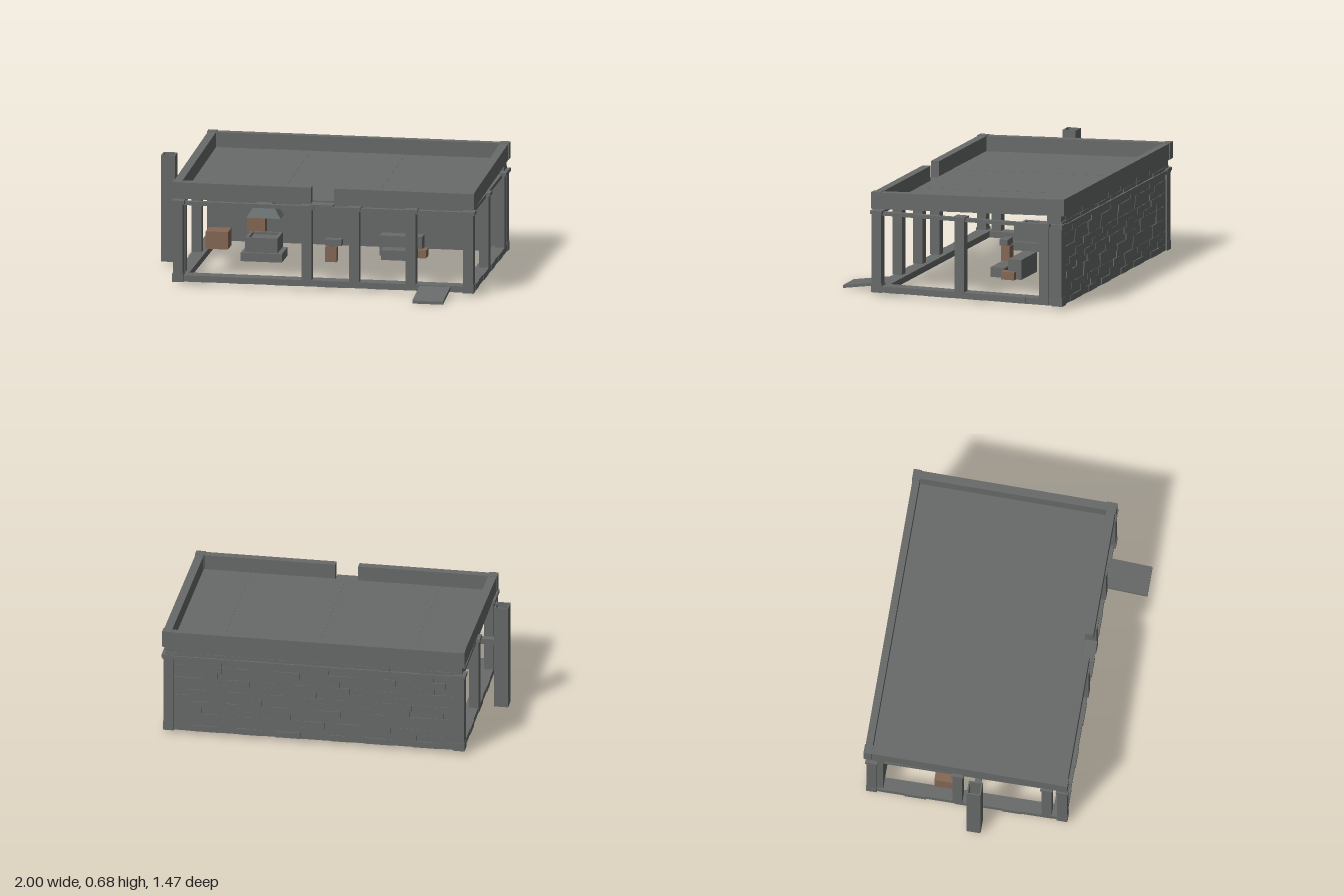
import * as THREE from 'three';

export function createModel() {
  const model = new THREE.Group();
  model.name = 'smithy';
  const mat = (name, color) => {
    const m = new THREE.MeshStandardMaterial({ color });
    m.name = name;
    return m;
  };
  const stone = mat('stone grey', 0x686b6a);
  const iron = mat('iron grey', 0x6b7172);
  iron.side = THREE.DoubleSide;
  const wood = mat('wood brown', 0x866856);

  const add = (name, geo, material, parent = model) => {
    const mesh = new THREE.Mesh(geo, material);
    mesh.name = name;
    parent.add(mesh);
    return mesh;
  };
  // Box given by its limits on each axis
  const boxGeo = (x0, x1, y0, y1, z0, z1) =>
    new THREE.BoxGeometry(x1 - x0, y1 - y0, z1 - z0)
      .translate((x0 + x1) / 2, (y0 + y1) / 2, (z0 + z1) / 2);
  const box = (name, lim, material = stone, parent = model) =>
    add(name, boxGeo(...lim), material, parent);
  // Tilt a geometry by raising it in proportion to its distance from z0
  const shear = (geo, z0, slope) => {
    const p = geo.attributes.position;
    for (let i = 0; i < p.count; i++) p.setY(i, p.getY(i) + (z0 - p.getZ(i)) * slope);
    geo.computeVertexNormals();
    return geo;
  };
  const group = (name) => {
    const g = new THREE.Group();
    g.name = name;
    model.add(g);
    return g;
  };
  let seed = 7;
  const rand = () => (seed = (seed * 16807) % 2147483647) / 2147483647;
  // Split a length into stones; calls place(start, end, proudness)
  const course = (from, to, place) => {
    let a = from;
    for (let i = 0; a < to; i++) {
      let b = a + 0.08 + rand() * 0.1;
      if (b > to - 0.07) b = to;
      place(a, b, (i % 2) * 0.004 + rand() * 0.002);
      a = b;
    }
  };

  const L = -0.835, R = 0.985, F = 0.488, B = -0.713, W = 0.08;

  // Sill of stones, open in the middle
  const sill = group('sillFrame');
  const sillStone = (...lim) => box('sillStone', lim, stone, sill);
  course(L, R, (a, b, d) => sillStone(a, b, 0.022, 0.06, F - W, F + d));
  course(L, R, (a, b, d) => sillStone(a, b, 0.022, 0.06, B - d, B + W));
  course(B + W, F - W, (a, b, d) => sillStone(R - W, R + d, 0.022, 0.06, a, b));
  course(B + W, F - W, (a, b, d) => sillStone(L - d, L + W, 0.022, 0.06, a, b));

  // Posts, each with a cap
  const posts = group('posts');
  const PL = -0.81, PR = 0.957, PF = 0.468, PB = -0.69;
  const spots = [
    [PL, PF], [-0.027, PF], [0.262, PF], [0.607, PF], [PR, PF],
    [PR, -0.062], [PR, -0.605], [PR, PB],
    [PL, 0.373], [PL, -0.168], [PL, PB],
  ];
  for (const [x, z] of spots) {
    box('post', [x - 0.03, x + 0.03, 0.06, 0.5, z - 0.03, z + 0.03], stone, posts);
    box('postCap', [x - 0.038, x + 0.04, 0.5, 0.52, z - 0.037, z + 0.037], stone, posts);
  }
  for (const x of [PL, PR]) for (const z of [PF, PB])
    box('postFoot', [x - 0.033, x + 0.033, 0.02, 0.072, z - 0.033, z + 0.033], stone, posts);

  // Beams along the tops of the posts
  const beams = group('topBeams');
  box('frontBeam', [L, R + 0.005, 0.49, 0.513, 0.453, 0.483], stone, beams);
  box('backBeam', [L, R + 0.005, 0.49, 0.513, -0.725, -0.695], stone, beams);
  for (const x of [PL, PR])
    box('sideBeam', [x - 0.015, x + 0.015, 0.49, 0.512, -0.725, 0.49], stone, beams);

  // Back wall: plain core, staggered bricks outside
  const wall = group('backWall');
  box('wallCore', [L + 0.01, R - 0.01, 0.06, 0.573, -0.705, -0.62], stone, wall);
  const rows = 13, rowH = 0.513 / rows;
  for (let r = 0; r < rows; r++) {
    const y = 0.06 + r * rowH, step = (r % 2) * 0.002;
    course(L + 0.01, R - 0.01, (a, b, d) =>
      box('brick', [a, b, y, y + rowH, -0.71 - d - step, -0.705], stone, wall));
  }

  // Thin sloping roof made of wide panels, low behind the parapet
  const roof = group('roof');
  const sloped = (name, ...lim) =>
    add(name, shear(boxGeo(...lim), 0.5, 0.0365), stone, roof);
  const IL = -0.79, IR = 0.938, IB = -0.69, IF = 0.443, panels = 6, pw = (IR - IL) / panels;
  for (let i = 0; i < panels; i++)
    sloped('roofPanel', IL + i * pw, IL + (i + 1) * pw, 0.53, 0.538 + (i % 2) * 0.001, IB, IF);

  // Parapet with a gap at the front for the spout
  sloped('parapetLeft', IR, 0.988, 0.53, 0.63, -0.733, 0.495);
  sloped('parapetRight', -0.84, IL, 0.53, 0.63, -0.733, 0.495);
  sloped('parapetBack', IL, IR, 0.53, 0.63, -0.733, IB);
  sloped('parapetFront', IL, 0, 0.53, 0.63, IF, 0.495);
  sloped('parapetFront', 0.14, IR, 0.53, 0.63, IF, 0.495);
  for (const [a, b] of [[-0.844, -0.787], [0.935, 0.992]])
    for (const [c, d] of [[-0.737, -0.687], [0.44, 0.5]])
      sloped('parapetCorner', a, b, 0.532, 0.633, c, d);

  // Spout: a thin lip below the gap
  box('spout', [0, 0.14, 0.523, 0.532, 0.44, 0.52]);

  // Entrance ramp
  add('ramp', shear(boxGeo(0.66, 0.847, 0, 0.018, 0.488, 0.737), 0.737, 0.15), stone);

  // Square hollow chimney beside the building
  const sq = (h) => [[-h, -h], [h, -h], [h, h], [-h, h]].map(([x, y]) => new THREE.Vector2(x, y));
  const tube = (outer, inner, height) => {
    const s = new THREE.Shape(sq(outer));
    s.holes.push(new THREE.Path(sq(inner).reverse()));
    return new THREE.ExtrudeGeometry(s, { depth: height, bevelEnabled: false }).rotateX(-Math.PI / 2);
  };
  add('chimney', tube(0.0425, 0.034, 0.655), stone).position.set(-0.9575, 0.025, 0.0425 - 0.085);

  // Hearth with raised rim, hood and flue
  const hearth = group('hearth');
  box('hearthBase', [-0.5, -0.25, 0.068, 0.12, -0.11, 0.09], stone, hearth);
  box('hearthBed', [-0.455, -0.3, 0.12, 0.195, -0.09, 0.05], stone, hearth);
  const rim = add('hearthRim', tube(0.0985, 0.078, 0.09), stone, hearth);
  rim.scale.z = 0.9;
  rim.position.set(-0.378, 0.12, -0.02);
  const hoodGeo = new THREE.CylinderGeometry(0.055, 0.148, 0.1, 4, 1, true)
    .rotateY(Math.PI / 4).scale(1, 1, 0.6).toNonIndexed();
  hoodGeo.computeVertexNormals();
  add('hood', hoodGeo, iron, hearth).position.set(-0.375, 0.37, -0.042);
  box('flueRiser', [-0.41, -0.35, 0.42, 0.46, -0.065, -0.02], iron, hearth);
  box('flue', [-0.92, -0.41, 0.422, 0.458, -0.063, -0.024], stone, hearth);

  // Anvil on its block
  box('anvilBlock', [0, 0.07, 0.068, 0.16, -0.035, 0.02], wood);
  box('anvil', [0, 0.1, 0.168, 0.205, -0.033, 0.018]);
  box('anvilFoot', [0.012, 0.06, 0.16, 0.168, -0.028, 0.013]);

  // Bench, trough and wooden crates
  box('bench', [0.29, 0.55, 0.068, 0.19, -0.295, -0.21]);
  box('trough', [0.32, 0.53, 0.068, 0.128, -0.18, -0.09]);
  box('crate', [-0.765, -0.63, 0.068, 0.175, -0.32, -0.2], wood);
  box('bellows', [-0.5, -0.39, 0.2, 0.295, -0.187, -0.115], wood);
  box('smallCrate', [0.527, 0.58, 0.068, 0.116, -0.26, -0.175], wood);

  return model;
}
